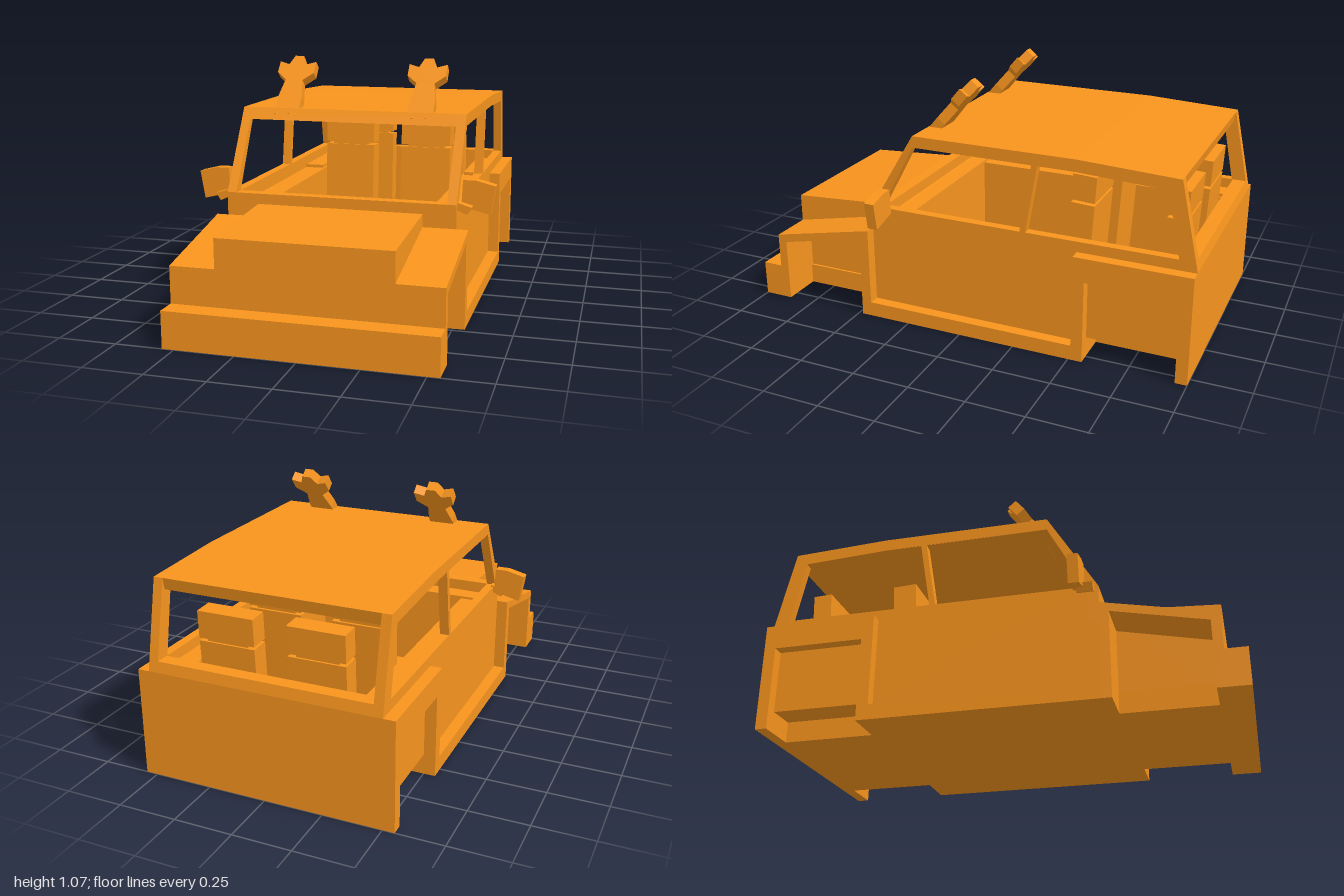
import * as THREE from 'three';

export function createModel() {
  const root = new THREE.Group();
  const paint = new THREE.MeshStandardMaterial({ color: 0xf7941d, flatShading: true });

  const add = (name, geo, parent = root) => {
    const mesh = new THREE.Mesh(geo, paint);
    mesh.name = name;
    parent.add(mesh);
    return mesh;
  };
  const toPoints = pts => pts.map(p => new THREE.Vector2(p[0], p[1]));

  // side profile given as [z, y] points, extruded across the car from x0 to x1
  const profile = (name, pts, x0, x1, holes = []) => {
    const shape = new THREE.Shape(toPoints(pts));
    for (const h of holes) shape.holes.push(new THREE.Path(toPoints(h)));
    const geo = new THREE.ExtrudeGeometry(shape, { depth: x1 - x0, bevelEnabled: false });
    geo.rotateY(-Math.PI / 2).translate(x1, 0, 0);
    return add(name, geo);
  };
  const pair = (name, pts, x0, x1, holes) => {
    profile(name + 'Left', pts, x0, x1, holes);
    profile(name + 'Right', pts, -x1, -x0, holes);
  };
  const box = (name, x0, x1, y0, y1, z0, z1, parent) => add(name,
    new THREE.BoxGeometry(x1 - x0, y1 - y0, z1 - z0)
      .translate((x0 + x1) / 2, (y0 + y1) / 2, (z0 + z1) / 2), parent);

  // floor, bumper and tail
  box('floor', -0.37, 0.37, 0, 0.09, -0.96, 0.88);
  box('bumper', -0.55, 0.55, 0, 0.155, 0.87, 1);
  box('tailPanel', -0.55, 0.55, 0, 0.465, -1, -0.95);
  profile('rearWindowSill', [[-1, 0.465], [-0.99, 0.51], [-0.93, 0.51], [-0.93, 0.09], [-0.96, 0.09]], -0.49, 0.49);

  // bonnet, cowl and dashboard
  profile('bonnet', [[0.3, 0], [0.3, 0.455], [0.435, 0.465], [0.91, 0.435], [0.91, 0]], -0.36, 0.36);
  box('cowl', -0.5, 0.5, 0.36, 0.51, 0.385, 0.435);
  box('dashboard', -0.48, 0.48, 0.3, 0.46, 0.3, 0.4);

  // front wings with open wheel arches
  pair('frontWing', [[0.435, 0], [0.435, 0.41], [0.91, 0.31], [0.91, 0], [0.87, 0],
    [0.87, 0.28], [0.48, 0.365], [0.48, 0]], 0.355, 0.55);

  // rear quarters with open wheel arches
  pair('rearQuarter', [[-0.51, 0], [-0.51, 0.465], [-1, 0.465], [-1, 0], [-0.95, 0],
    [-0.95, 0.36], [-0.56, 0.36], [-0.56, 0]], 0.37, 0.55);

  // sills under the doors, and ledges beside the seats
  pair('sill', [[-0.56, 0], [-0.56, 0.065], [-0.51, 0.065], [0.44, 0.065], [0.44, 0]], 0.36, 0.55);
  pair('innerLedge', [[-0.93, 0.09], [-0.93, 0.45], [0.435, 0.45], [0.435, 0.06], [-0.54, 0.06], [-0.54, 0.09]], 0.36, 0.495);

  // cabin sides: door panels, pillars and window openings
  const frontWindow = [[0.385, 0.51], [0.225, 0.805], [-0.31, 0.805], [-0.26, 0.51]];
  const rearWindow = [[-0.285, 0.51], [-0.335, 0.805], [-0.5, 0.803], [-0.87, 0.785], [-0.925, 0.51]];
  pair('cabinSide', [[0.435, 0.06], [0.435, 0.51], [0.225, 0.855], [-0.5, 0.855], [-0.92, 0.835],
    [-1, 0.465], [-0.96, 0.09], [-0.54, 0.09], [-0.54, 0.06]], 0.46, 0.5, [frontWindow, rearWindow]);

  // roof
  profile('roof', [[0.225, 0.855], [-0.5, 0.855], [-0.92, 0.835], [-0.91, 0.785],
    [-0.5, 0.803], [0.255, 0.805]], -0.499, 0.499);

  // seats with separate headrests
  for (const [row, z, lean] of [['front', -0.465, -0.06], ['rear', -0.865, -0.05]]) {
    for (const side of [1, -1]) {
      const seat = new THREE.Group();
      seat.name = row + 'Seat';
      seat.position.set(side * 0.193, 0.595, z);
      seat.rotation.x = lean;
      const w = 0.122, d = row === 'front' ? 0.052 : 0.042;
      box('backrest', -w, w, -0.5, 0, -d, d, seat);
      box('headrestPost', -0.09, 0.09, -0.01, 0.03, -d * 0.8, d * 0.8, seat);
      box('headrest', -w, w, 0.012, 0.127, -d, d, seat);
      root.add(seat);
    }
  }

  // extrusion towards +z of an [x, y] outline
  const plate = (pts, depth) => new THREE.ExtrudeGeometry(
    new THREE.Shape(toPoints(pts)), { depth, bevelEnabled: false });
  const mirrorX = pts => pts.map(([x, y]) => [-x, y]);

  // three-pronged roof ornament, half outline then its mirror
  const half = [[0.055, -0.03], [0.055, 0.06], [0.04, 0.15], [0.085, 0.19],
    [0.085, 0.25], [0.04, 0.235], [0.02, 0.282]];
  const prong = [...half, ...mirrorX(half).reverse()];

  // door mirror housing and its arm
  const housing = [[0.51, 0.495], [0.63, 0.465], [0.65, 0.585], [0.57, 0.605], [0.515, 0.605]];
  const arm = [[0.49, 0.49], [0.54, 0.468], [0.56, 0.5], [0.49, 0.52]];

  for (const [label, s] of [['Left', 1], ['Right', -1]]) {
    const ornament = add('roofOrnament' + label, plate(prong, 0.045).translate(0, 0, -0.045));
    ornament.position.set(s * 0.3, 0.855, 0.22);
    ornament.rotation.x = -0.7;

    const flip = pts => (s > 0 ? pts : mirrorX(pts));
    add('mirror' + label, plate(flip(housing), 0.045).translate(0, 0, 0.335));
    add('mirrorArm' + label, plate(flip(arm), 0.07).translate(0, 0, 0.35));
  }

  return root;
}
